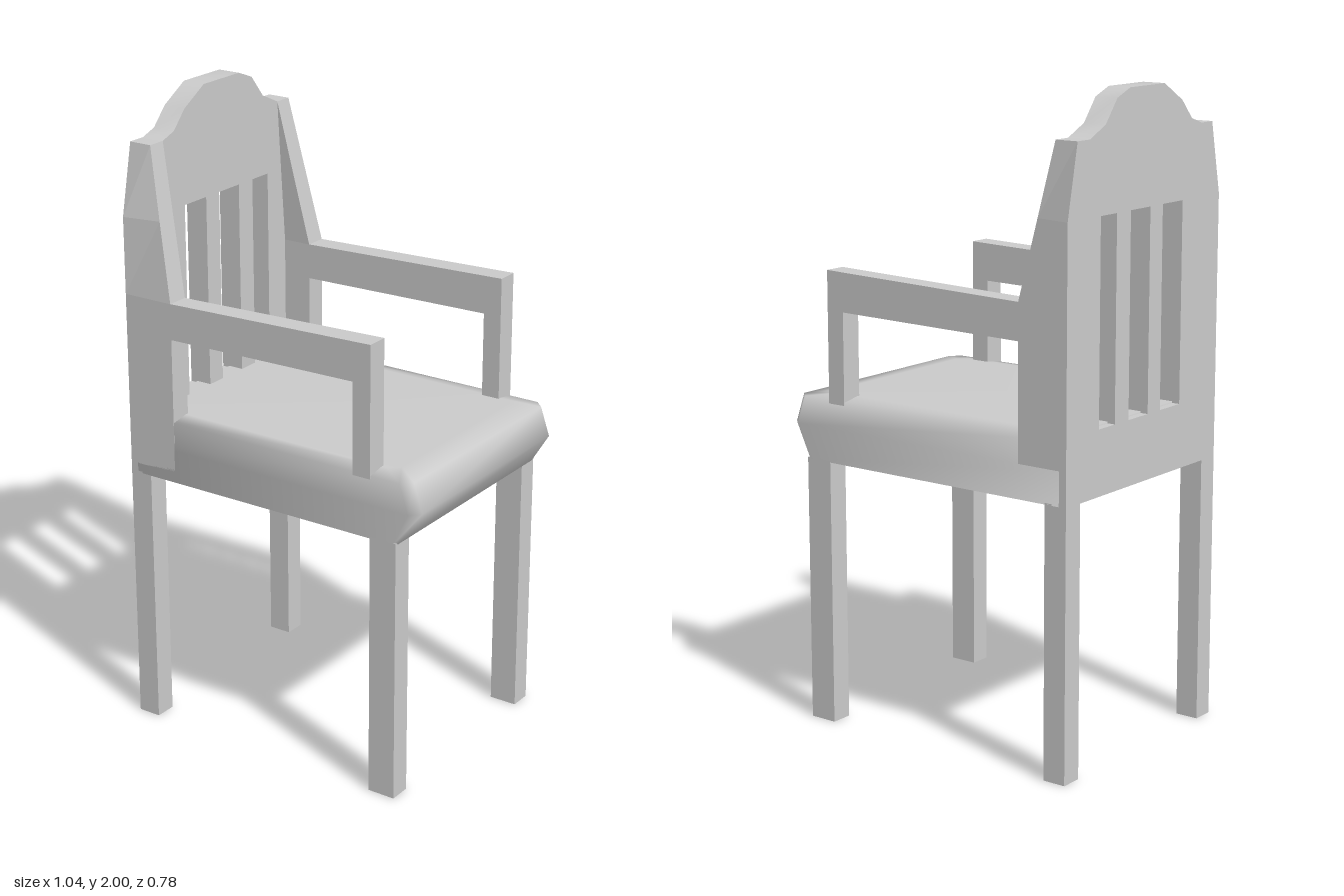
import * as THREE from 'three';
import { toCreasedNormals } from 'three/addons/utils/BufferGeometryUtils.js';

const material = new THREE.MeshStandardMaterial({ color: 0xcccccc });

function part(group, name, geometry) {
  const mesh = new THREE.Mesh(geometry, material);
  mesh.name = name;
  group.add(mesh);
  return mesh;
}

// Skin over rings stacked upwards; each ring runs counterclockwise seen from above.
function loft(rings) {
  const n = rings[0].length, last = (rings.length - 1) * n, base = rings.length * n;
  const points = [...rings.flat(), ...rings[0]];
  const index = [];
  for (let r = 0; r < rings.length - 1; r++) {
    for (let i = 0; i < n; i++) {
      const a = r * n + i, b = r * n + (i + 1) % n;
      index.push(a, b, b + n, a, b + n, a + n);
    }
  }
  for (let i = 1; i < n - 1; i++) {
    index.push(last, last + i, last + i + 1);
    index.push(base, base + i + 1, base + i);
  }
  const geometry = new THREE.BufferGeometry();
  geometry.setAttribute('position', new THREE.Float32BufferAttribute(points.flat(), 3));
  geometry.setIndex(index);
  geometry.computeVertexNormals();
  return geometry;
}

const toShape = (points) => new THREE.Shape(points.map(([x, y]) => new THREE.Vector2(x, y)));

export function createModel() {
  const chair = new THREE.Group();
  chair.name = 'armchair';

  // Cushioned seat: [y, front x, half width, corner cut]
  const seatRings = [
    [0.835, 0.45, 0.39, 0.01],
    [0.94, 0.52, 0.39, 0.03],
    [1.03, 0.49, 0.388, 0.03],
    [1.04, 0.41, 0.33, 0.03],
  ].map(([y, f, w, c]) => [
    [-0.5, y, w], [f - c, y, w], [f, y, w - c],
    [f, y, c - w], [f - c, y, -w], [-0.5, y, -w],
  ]);
  part(chair, 'seat', loft(seatRings));

  // Back panel with curved crest and three slots
  const panel = toShape([
    [-0.33, 0.835], [0.33, 0.835], [0.33, 1.41], [0.3, 1.87], [0.286, 1.87],
    [0.21, 1.905], [0.154, 1.975], [0.09, 2], [-0.085, 2], [-0.18, 1.945],
    [-0.233, 1.888], [-0.286, 1.87], [-0.3, 1.87], [-0.33, 1.41],
  ]);
  for (const [a, b] of [[-0.19, -0.085], [-0.02, 0.08], [0.15, 0.23]]) {
    panel.holes.push(toShape([[a, 1.035], [a, 1.65], [b, 1.65], [b, 1.035]]));
  }
  const panelGeometry = new THREE.ExtrudeGeometry(panel, { depth: 0.075, bevelEnabled: false });
  panelGeometry.rotateY(Math.PI / 2).translate(-0.525, 0, 0);
  part(chair, 'backPanel', toCreasedNormals(panelGeometry, 0.75));

  // Side outline of an armrest together with its front post
  const armGeometry = new THREE.ExtrudeGeometry(toShape([
    [-0.37, 1.297], [0.3, 1.307], [0.3, 1.02], [0.36, 1.02], [0.36, 1.43], [-0.37, 1.41],
  ]), { depth: 0.07, bevelEnabled: false });

  for (const side of [1, -1]) {
    const label = side > 0 ? 'left' : 'right';

    // Tapering back post: [y, front x, outer z at rear, outer z at front, inner z]
    const rings = [
      [0.835, -0.355, 0.39, 0.39, 0.32],
      [1.41, -0.355, 0.39, 0.39, 0.32],
      [1.65, -0.405, 0.39, 0.367, 0.302],
      [1.87, -0.45, 0.345, 0.345, 0.286],
    ].map(([y, f, rear, front, inner]) => {
      const ring = [[-0.525, y, side * rear], [f, y, side * front], [f, y, side * inner], [-0.525, y, side * inner]];
      return side > 0 ? ring : ring.reverse();
    });
    const post = loft(rings).toNonIndexed();
    post.computeVertexNormals();
    part(chair, label + 'BackPost', post);

    part(chair, label + 'Armrest', armGeometry).position.z = side > 0 ? 0.32 : -0.39;

    // Legs: [name, centre x, thickness]
    for (const [name, x, width] of [['FrontLeg', 0.405, 0.09], ['BackLeg', -0.4875, 0.075]]) {
      part(chair, label + name, new THREE.BoxGeometry(width, 0.84, 0.07))
        .position.set(x, 0.42, side * 0.355);
    }
  }
  return chair;
}
